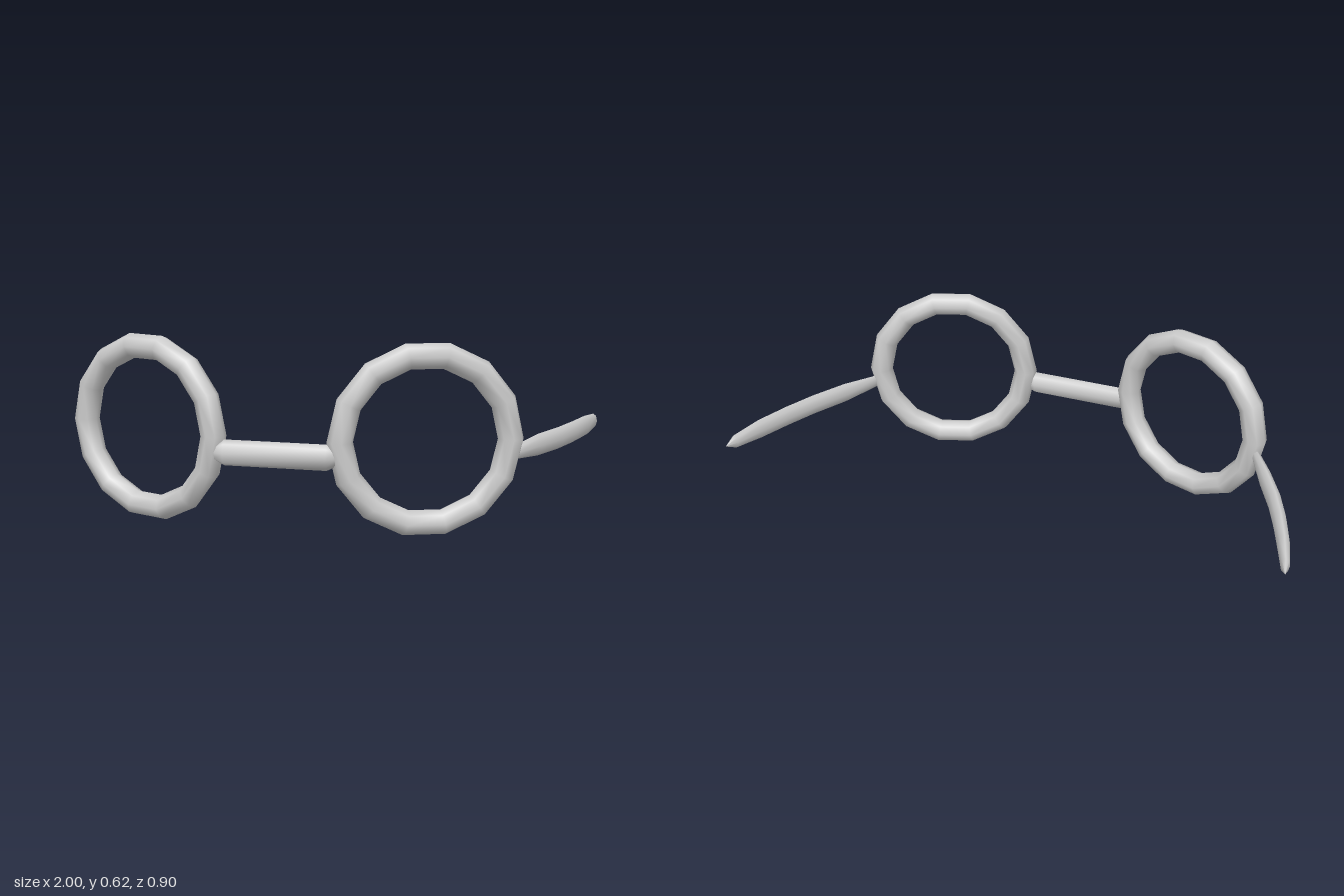
import * as THREE from 'three';

const SIDES = 8;
const ARM_HEIGHT = 0.263;

// Closed elliptical rod through level stations [x, z, halfWidth, halfHeight]
function rod(stations) {
  const positions = [];
  const indices = [];
  const last = stations.length - 1;
  for (let i = 0; i <= last; i++) {
    const [x, z, w, h] = stations[i];
    const a = stations[Math.max(i - 1, 0)];
    const b = stations[Math.min(i + 1, last)];
    const t = new THREE.Vector2(b[0] - a[0], b[1] - a[1]);
    t.normalize();
    for (let j = 0; j < SIDES; j++) {
      const angle = (j / SIDES) * Math.PI * 2;
      const across = Math.cos(angle) * w;
      const up = Math.sin(angle) * h;
      positions.push(x + t.y * across, ARM_HEIGHT + up, z - t.x * across);
    }
  }
  for (let i = 0; i < last; i++) {
    for (let j = 0; j < SIDES; j++) {
      const k = (j + 1) % SIDES;
      const p = i * SIDES;
      const q = p + SIDES;
      indices.push(p + j, p + k, q + j);
      indices.push(p + k, q + k, q + j);
    }
  }
  const geometry = new THREE.BufferGeometry();
  geometry.setAttribute('position', new THREE.Float32BufferAttribute(positions, 3));
  geometry.setIndex(indices);
  geometry.computeVertexNormals();
  return geometry;
}

// Bridge between the rims
const BRIDGE = [
  [-0.205, 0.418, 0, 0],
  [-0.2, 0.418, 0.02, 0.028],
  [-0.17, 0.418, 0.029, 0.043],
  [0.17, 0.418, 0.029, 0.043],
  [0.2, 0.418, 0.02, 0.028],
  [0.205, 0.418, 0, 0]
];

// Left temple arm, from hinge to pointed tip
const TEMPLE = [
  [0.745, 0.2, 0, 0],
  [0.75, 0.185, 0.014, 0.024],
  [0.81, 0.06, 0.021, 0.037],
  [0.872, -0.07, 0.023, 0.038],
  [0.914, -0.18, 0.023, 0.038],
  [0.953, -0.3, 0.021, 0.037],
  [0.983, -0.41, 0.015, 0.026],
  [0.993, -0.455, 0, 0]
];

export function createModel() {
  const model = new THREE.Group();
  model.name = 'eyeglasses';
  const material = new THREE.MeshStandardMaterial({ color: 0xcccccc });
  material.name = 'frameGrey';

  function add(name, geometry) {
    const mesh = new THREE.Mesh(geometry, material);
    mesh.name = name;
    model.add(mesh);
    return mesh;
  }

  add('bridge', rod(BRIDGE));

  for (const s of [1, -1]) {
    const side = s > 0 ? 'left' : 'right';

    // Round rim, angled back towards its temple
    const rimGeometry = new THREE.TorusGeometry(0.278, 0.0425, SIDES, 14);
    const rim = add(side + 'Rim', rimGeometry);
    rim.position.set(s * 0.471, 0.313, 0.31);
    rim.rotation.y = s * THREE.MathUtils.degToRad(20);

    // Temple arm, mirrored for the right side
    const stations = TEMPLE.map((p) => [s * p[0], p[1], p[2], p[3]]);
    add(side + 'Temple', rod(stations));
  }
  return model;
}
